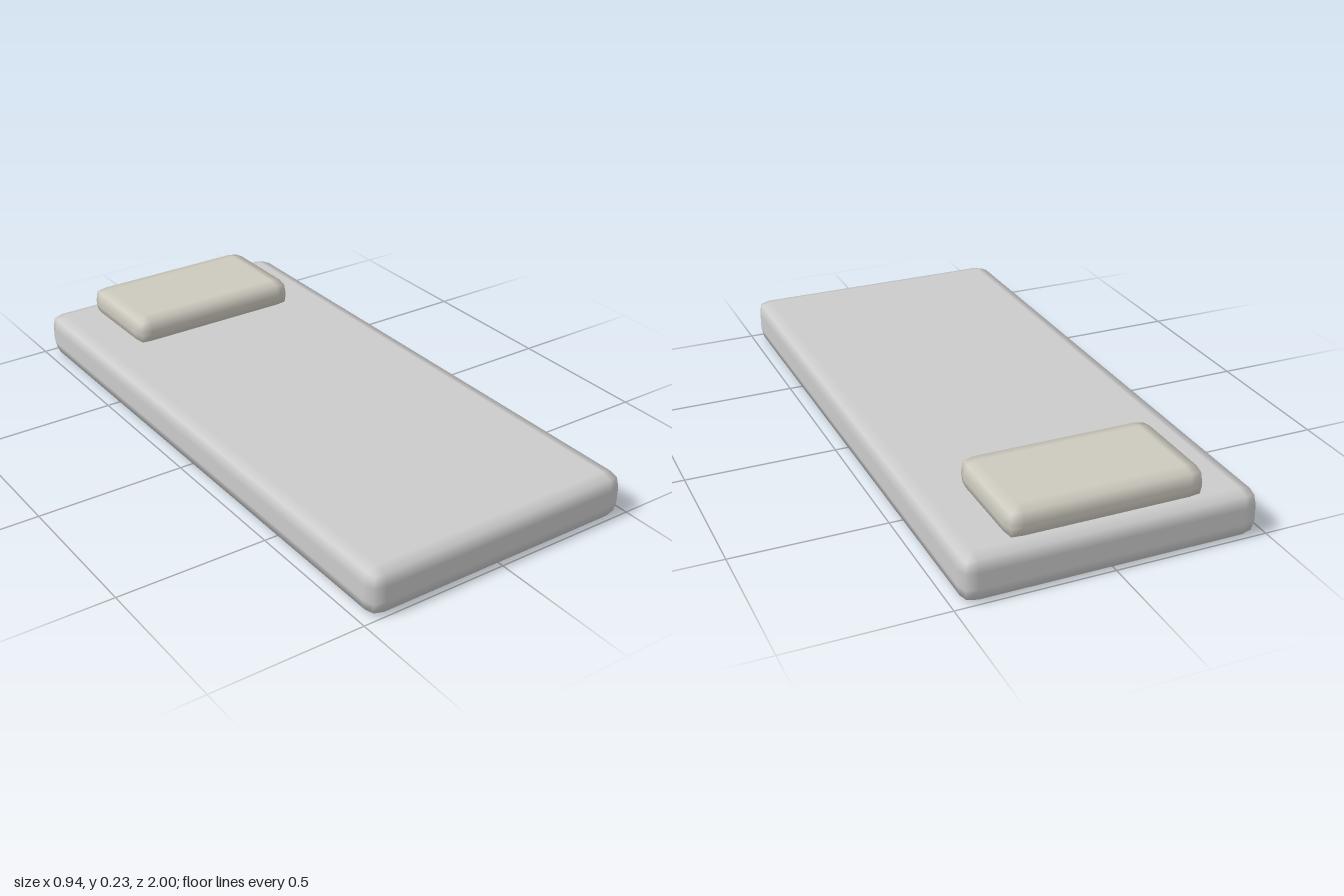
import * as THREE from 'three';
import { mergeVertices } from 'three/addons/utils/BufferGeometryUtils.js';

// Box with two-step softened edges: a 3x3x3 grid whose outer rows form the bevel.
function softBox(w, h, d, r, pull) {
  const geo = new THREE.BoxGeometry(1, 1, 1, 3, 3, 3);
  geo.deleteAttribute('uv');
  const half = [w / 2, h / 2, d / 2];
  const pos = geo.attributes.position;
  const nor = geo.attributes.normal;
  const n = new THREE.Vector3();
  for (let i = 0; i < pos.count; i++) {
    const p = [pos.getX(i), pos.getY(i), pos.getZ(i)];
    const outer = p.map((v) => Math.abs(v) > 0.4);
    const count = outer.filter(Boolean).length; // 1 face, 2 edge, 3 corner
    const inset = pull * [0, 0, 1, 1.5][count];
    const q = p.map((v, k) => Math.sign(v) * (half[k] - (outer[k] ? inset : r)));
    pos.setXYZ(i, ...q);
    n.set(...p.map((v, k) => (outer[k] ? Math.sign(v) : 0))).normalize();
    nor.setXYZ(i, n.x, n.y, n.z);
  }
  return mergeVertices(geo);
}

function part(name, geo, color, x, y, z) {
  const mesh = new THREE.Mesh(geo, new THREE.MeshStandardMaterial({ color }));
  mesh.name = name;
  mesh.position.set(x, y, z);
  return mesh;
}

export function createModel() {
  const group = new THREE.Group();
  group.name = 'mattressWithPillow';

  // Mattress slab lying on the ground
  group.add(part('mattress', softBox(0.944, 0.148, 2, 0.048, 0.01), 0xcccccc, 0, 0.074, 0));

  // Pillow at the back end, slightly sunk into the mattress
  group.add(part('pillow', softBox(0.626, 0.102, 0.362, 0.047, 0.008), 0xccc9be, 0, 0.18, -0.766));

  return group;
}
